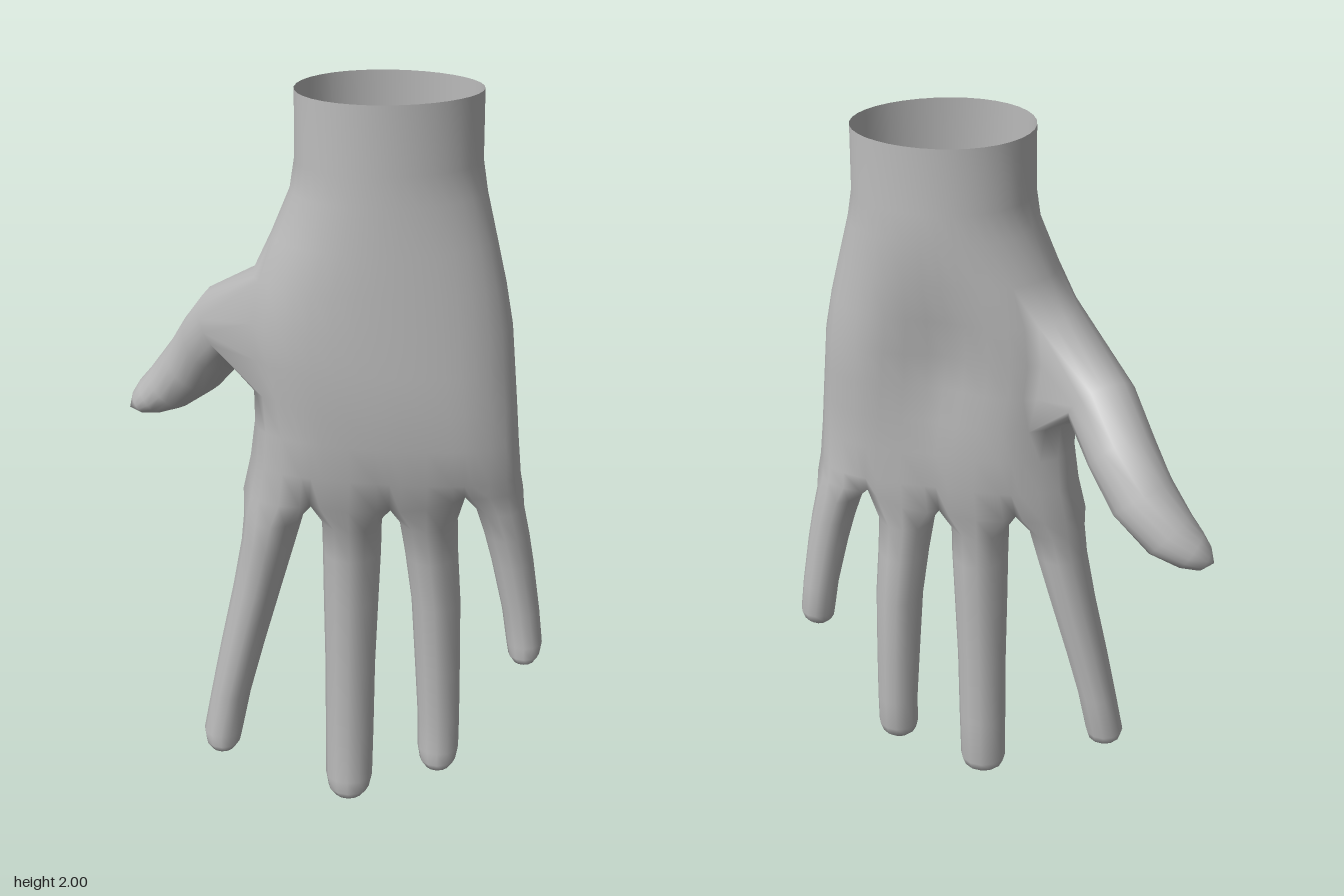
import * as THREE from 'three';

// Palm cross-sections: y, left x, right x, front z, back z, roundness, tilt, blend to knuckle spacing, palm hollow
const PALM = [
  [2.0, -0.08, 0.39, 0.285, -0.042, 2, -0.025, 0, 0],
  [1.82, -0.08, 0.39, 0.29, -0.045, 2, -0.025, 0, 0],
  [1.74, -0.092, 0.402, 0.293, -0.05, 2, -0.015, 0.02, 0],
  [1.62, -0.14, 0.43, 0.30, -0.05, 2.1, 0.01, 0.1, 0.01],
  [1.51, -0.19, 0.455, 0.303, -0.05, 2.2, 0.03, 0.2, 0.03],
  [1.4, -0.21, 0.474, 0.305, -0.045, 2.3, 0.035, 0.3, 0.05],
  [1.3, -0.205, 0.482, 0.305, -0.036, 2.3, 0.045, 0.4, 0.05],
  [1.2, -0.19, 0.49, 0.303, -0.026, 2.3, 0.055, 0.5, 0.035],
  [1.1, -0.188, 0.497, 0.29, -0.01, 2.4, 0.06, 0.7, 0.02],
  [1.0, -0.2, 0.505, 0.275, 0.0, 2.6, 0.055, 0.9, 0.01],
  [0.905, -0.22, 0.512, 0.25, 0.015, 3, 0.04, 1, 0],
];
const KNUCKLES = [-0.195, -0.038, 0.17, 0.365, 0.493]; // x of the borders between fingers
const COLS = 36; // 17 on the back of the hand, a side, 17 on the palm, a side

// Finger rings: x, y, z, half width, half depth; and the y of the tip
const FINGERS = [
  { name: 'indexFinger', tip: 0.125, rings: [[-0.14, 0.84, 0.125, 0.078, 0.095], [-0.155, 0.76, 0.12, 0.071, 0.087],
    [-0.187, 0.62, 0.113, 0.064, 0.077], [-0.228, 0.45, 0.11, 0.058, 0.068], [-0.262, 0.3, 0.107, 0.053, 0.06],
    [-0.285, 0.18, 0.105, 0.052, 0.056]] },
  { name: 'middleFinger', tip: 0, rings: [[0.066, 0.835, 0.122, 0.079, 0.1], [0.066, 0.74, 0.115, 0.077, 0.09],
    [0.064, 0.6, 0.112, 0.073, 0.08], [0.062, 0.4, 0.11, 0.067, 0.07], [0.061, 0.2, 0.11, 0.065, 0.064],
    [0.06, 0.06, 0.112, 0.063, 0.062]] },
  { name: 'ringFinger', tip: 0.1, rings: [[0.267, 0.845, 0.128, 0.077, 0.096], [0.277, 0.74, 0.12, 0.07, 0.087],
    [0.29, 0.6, 0.112, 0.065, 0.08], [0.297, 0.4, 0.11, 0.06, 0.068], [0.302, 0.25, 0.113, 0.056, 0.058],
    [0.302, 0.16, 0.115, 0.055, 0.056]] },
  { name: 'littleFinger', tip: 0.45, rings: [[0.452, 0.9, 0.148, 0.064, 0.08], [0.473, 0.82, 0.147, 0.059, 0.067],
    [0.49, 0.74, 0.145, 0.055, 0.06], [0.515, 0.6, 0.145, 0.049, 0.053], [0.527, 0.505, 0.148, 0.047, 0.05]] },
];

// Thumb rings: centre x, y, z, half height, half width
const THUMB = [[-0.265, 1.315, -0.04, 0.108, 0.09], [-0.325, 1.225, -0.135, 0.098, 0.09],
  [-0.385, 1.13, -0.195, 0.088, 0.09], [-0.46, 1.05, -0.235, 0.072, 0.078], [-0.515, 1.012, -0.245, 0.053, 0.062],
  [-0.55, 0.99, -0.247, 0.032, 0.045]];
const THUMB_TIP = [-0.575, 0.975, -0.245];

export function createModel() {
  const verts = [];
  const add = (x, y, z) => verts.push(x, y, z) / 3 - 1;
  const lerp = THREE.MathUtils.lerp;

  // Quads between two rings, leaving out any column the test rejects
  const bridge = (out, a, b, keep = () => true) => a.forEach((_, i) => {
    const j = (i + 1) % a.length;
    if (keep(i)) out.push(a[i], b[i], b[j], a[i], b[j], a[j]);
  });
  const cap = (out, ring, pole) => ring.forEach((v, i) => out.push(v, pole, ring[(i + 1) % ring.length]));

  // Position across the hand (0 to 1) of one column at the knuckles
  const [, knuckleLeft, knuckleRight] = PALM[PALM.length - 1];
  const knuckleAt = (i) => {
    const f = Math.min(3, Math.floor(i / 4)), t = (1 - Math.cos(Math.PI * (i - f * 4) / 4)) / 2;
    return (lerp(KNUCKLES[f], KNUCKLES[f + 1], t) - knuckleLeft) / (knuckleRight - knuckleLeft);
  };

  // Palm rings, a little thinner towards the little finger
  const rows = PALM.map(([y, xl, xr, zf, zb, p, tilt, w, hollow], r) => Array.from({ length: COLS }, (_, c) => {
    const zc = (zf + zb) / 2, last = r === PALM.length - 1;
    let n, side = 0, squeeze = 1;
    if (c === 35) n = 0;
    else if (c === 17) n = 1;
    else {
      const i = c < 17 ? c : 34 - c;
      side = c < 17 ? 1 : -1;
      n = lerp((1 - Math.cos(Math.PI * (i + 1) / 18)) / 2, knuckleAt(i), w);
      if (last) squeeze = [0.72, 0.93, 1, 0.93][i % 4]; // valleys between the knuckles
    }
    const half = squeeze * (1.06 - 0.14 * n) * (zf - zb) / 2;
    let z = zc + tilt * (n - 0.5) + side * half * Math.pow(Math.max(0, 1 - Math.abs(2 * n - 1) ** p), 1 / p);
    if (side < 0) z += hollow * Math.exp(-(((n - 0.55) / 0.2) ** 2));
    const lift = last ? 0.05 * THREE.MathUtils.smoothstep(n, 0.5, 0.9) : 0;
    return add(lerp(xl, xr, n), y + lift, z);
  }));

  // Palm skin, open at the wrist and with a hole for the thumb
  const palm = [];
  const top = 4, bottom = 7;
  for (let r = 0; r < rows.length - 1; r++) {
    const hole = r >= top && r < bottom;
    bridge(palm, rows[r], rows[r + 1], (c) => !(hole && (c >= 31 || c < 1)));
  }
  const parts = [['wristAndPalm', palm]];

  // Web points between neighbouring fingers
  const end = rows[rows.length - 1];
  const webs = [end[35], add(-0.038, 0.87, 0.13), add(0.17, 0.865, 0.13), add(0.365, 0.92, 0.14), end[17]];

  // Fingers grow out of the last palm ring
  FINGERS.forEach(({ name, tip, rings }, f) => {
    const out = [], across = [0, 1, 2, 3, 4].map((k) => f * 4 + k);
    let prev = [...across.map((i) => end[i]), webs[f + 1], ...across.reverse().map((i) => end[34 - i]), webs[f]];
    const [x, y, z, w, d] = rings[rings.length - 1];
    const h = y - tip;
    // Tips lean towards the back of the hand
    const tipRings = [[0.55, 0.87], [0.87, 0.57]].map(([t, s]) => [x, y - h * t, z + 0.02 * t, w * s, d * s]);
    for (const [rx, ry, rz, rw, rd] of [...rings, ...tipRings]) {
      const ring = prev.map((_, k) => {
        const a = Math.PI * (5 - k) / 6;
        return add(rx + rw * Math.cos(a), ry, rz + rd * Math.sin(a));
      });
      bridge(out, prev, ring);
      prev = ring;
    }
    cap(out, prev, add(x, tip, z + 0.02));
    parts.push([name, out]);
  });

  // Thumb grows out of the edge of its hole
  const thumb = [], at = (r, c) => rows[r][c % COLS];
  let prev = [];
  for (let c = 31; c <= 37; c++) prev.push(at(top, c));
  for (let r = top + 1; r <= bottom; r++) prev.push(at(r, 37));
  for (let c = 36; c >= 31; c--) prev.push(at(bottom, c));
  for (let r = bottom - 1; r > top; r--) prev.push(at(r, 31));
  const centres = [...THUMB, THUMB_TIP].map((q) => new THREE.Vector3(q[0], q[1], q[2]));
  THUMB.forEach(([, , , high, wide], k) => {
    const along = centres[k + 1].clone().sub(centres[Math.max(0, k - 1)]).normalize();
    const up = new THREE.Vector3(0, 1, 0).addScaledVector(along, -along.y).normalize();
    const left = up.clone().cross(along);
    const ring = prev.map((_, i) => {
      const a = (i * 20 - 60) * Math.PI / 180;
      const q = centres[k].clone().addScaledVector(up, high * Math.cos(a)).addScaledVector(left, wide * Math.sin(a));
      return add(q.x, q.y, q.z);
    });
    bridge(thumb, prev, ring);
    prev = ring;
  });
  cap(thumb, prev, add(...THUMB_TIP));
  parts.push(['thumb', thumb]);

  // Smooth normals over the whole skin, shared by the separate parts
  const skin = new THREE.BufferGeometry();
  skin.setAttribute('position', new THREE.Float32BufferAttribute(verts, 3));
  skin.setIndex(parts.flatMap(([, index]) => index));
  skin.computeVertexNormals();

  const material = new THREE.MeshStandardMaterial({ color: 0xbcbcbc, side: THREE.DoubleSide });
  material.name = 'grey skin';
  const group = new THREE.Group();
  group.name = 'hand';
  for (const [name, index] of parts) {
    const geometry = new THREE.BufferGeometry();
    geometry.setAttribute('position', skin.getAttribute('position'));
    geometry.setAttribute('normal', skin.getAttribute('normal'));
    geometry.setIndex(index);
    const mesh = new THREE.Mesh(geometry, material);
    mesh.name = name;
    group.add(mesh);
  }
  return group;
}
